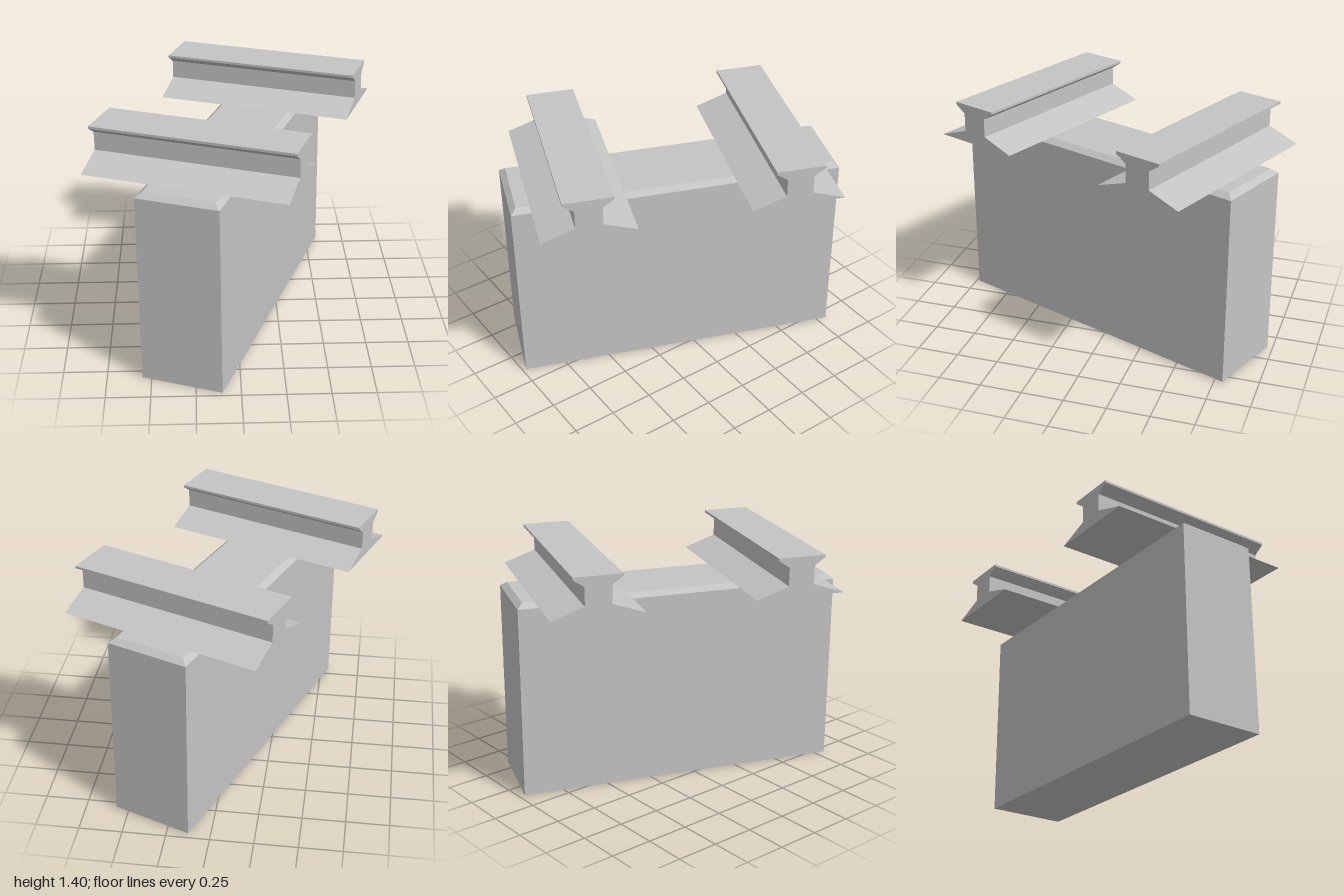
import * as THREE from 'three';

const BODY_WIDTH = 0.476, BODY_LENGTH = 1.905, BODY_TOP = 1.155, CHAMFER = 0.033;
const RAIL_LENGTH = 1.17;

// Tall block whose top edges are chamfered
function bodyGeometry() {
  const geo = new THREE.BoxGeometry(BODY_WIDTH, 2, BODY_LENGTH, 1, 2, 1);
  const p = geo.attributes.position;
  for (let i = 0; i < p.count; i++) {
    const level = Math.round(p.getY(i));
    if (level > 0) {
      p.setX(i, p.getX(i) - Math.sign(p.getX(i)) * CHAMFER);
      p.setZ(i, p.getZ(i) - Math.sign(p.getZ(i)) * CHAMFER);
    }
    p.setY(i, level < 0 ? 0 : level === 0 ? BODY_TOP - 0.028 : BODY_TOP);
  }
  const flat = geo.toNonIndexed();
  flat.computeVertexNormals();
  return flat;
}

// I-beam: wide pointed foot, narrow web, flared head; runs along x
function railGeometry() {
  const half = [[0.265, 1.162], [0.076, 1.228], [0.076, 1.335], [0.139, 1.378], [0.139, 1.392]];
  const mirrored = half.map(([x, y]) => [-x, y]).reverse();
  const shape = new THREE.Shape([...half, ...mirrored].map(([x, y]) => new THREE.Vector2(x, y)));
  const geo = new THREE.ExtrudeGeometry(shape, { depth: RAIL_LENGTH, bevelEnabled: false });
  geo.translate(0, 0, -RAIL_LENGTH / 2);
  geo.rotateY(Math.PI / 2);
  return geo;
}

export function createModel() {
  const grey = new THREE.MeshStandardMaterial({ color: 0xc4c4c4 });
  grey.name = 'light grey';
  grey.flatShading = true;

  const model = new THREE.Group();
  model.name = 'blockWithRails';

  // The whole assembly leans slightly and is turned about the vertical
  const lean = new THREE.Group();
  lean.name = 'leaningAssembly';
  lean.position.set(0.011, 0.005, 0.005);
  lean.rotation.z = 0.009;
  model.add(lean);

  const turned = new THREE.Group();
  turned.name = 'turnedAssembly';
  turned.rotation.y = THREE.MathUtils.degToRad(-20.8);
  lean.add(turned);

  const body = new THREE.Mesh(bodyGeometry(), grey);
  body.name = 'body';
  turned.add(body);

  // Two crosswise rails lying on the block
  const railGeo = railGeometry();
  for (const [name, z] of [['frontRail', 0.578], ['backRail', -0.591]]) {
    const rail = new THREE.Mesh(railGeo, grey);
    rail.name = name;
    rail.position.set(-0.007, 0, z);
    turned.add(rail);
  }
  return model;
}
